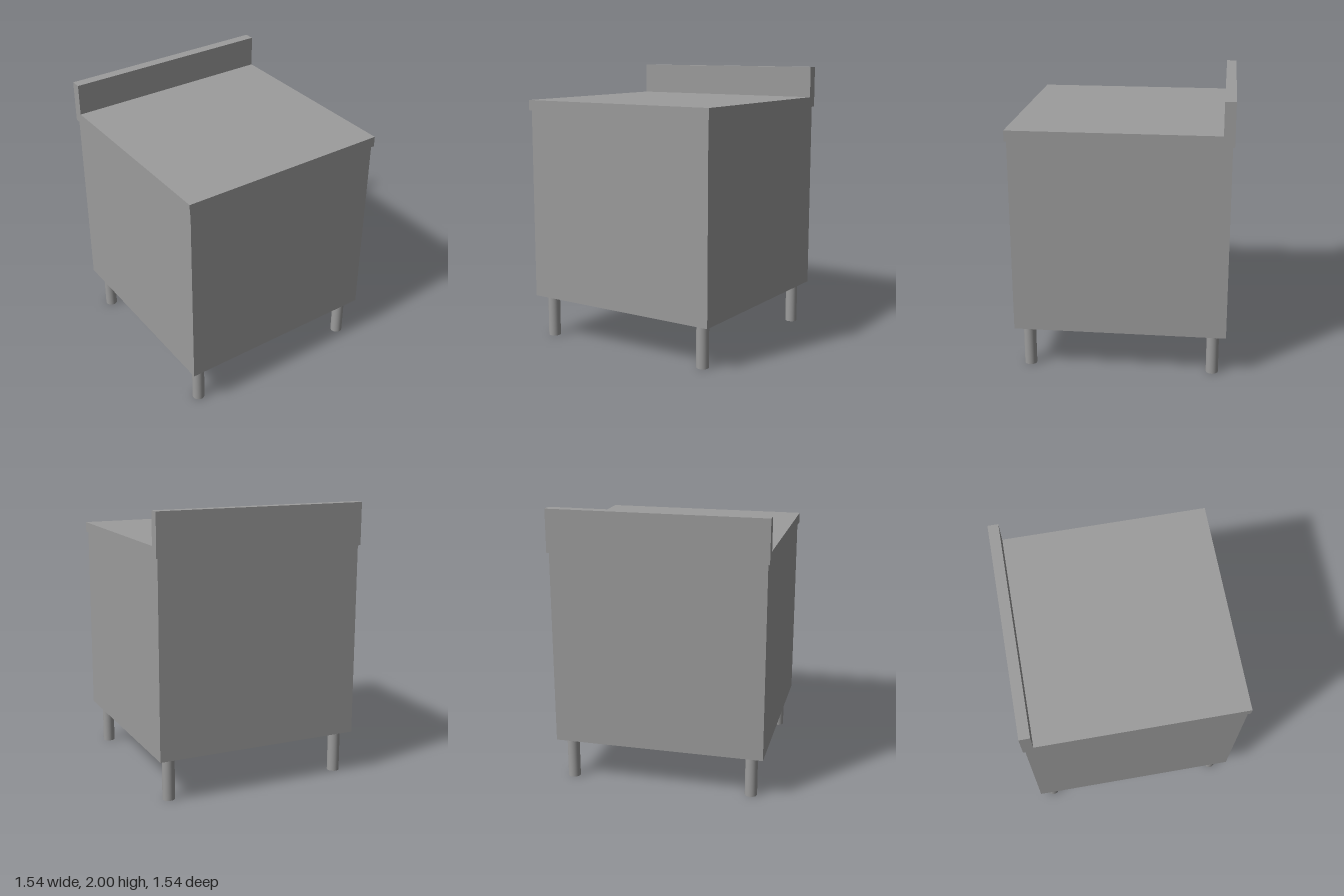
import * as THREE from 'three';

export function createModel() {
  const group = new THREE.Group();
  const material = new THREE.MeshStandardMaterial({ color: 0x9c9c9c });
  const add = (name, geometry, x = 0, y = 0, z = 0) => {
    const mesh = new THREE.Mesh(geometry, material);
    mesh.name = name;
    mesh.position.set(x, y, z);
    group.add(mesh);
  };

  const half = 0.768;         // half width and depth of the worktop
  const bodyBottom = 0.31, bodyTop = 1.697;
  const bodySize = 1.51;

  // Closed cabinet body
  const bodyHeight = bodyTop - bodyBottom;
  add('cabinetBody', new THREE.BoxGeometry(bodySize, bodyHeight, bodySize), 0, bodyBottom + bodyHeight / 2, 0);

  // Worktop with upstand: an L profile (z, y) extruded across the width
  const profile = new THREE.Shape([
    [-half, bodyTop], [half, bodyTop], [half, 1.772],
    [-0.693, 1.772], [-0.693, 2], [-half, 2],
  ].map(([z, y]) => new THREE.Vector2(z, y)));
  const worktop = new THREE.ExtrudeGeometry(profile, { depth: 2 * half, bevelEnabled: false });
  worktop.translate(0, 0, -half).rotateY(-Math.PI / 2);
  add('worktopWithUpstand', worktop);

  // Four round legs
  const legGeometry = new THREE.CylinderGeometry(0.044, 0.044, bodyBottom, 32);
  for (const [side, x] of [['Left', 0.662], ['Right', -0.662]]) {
    for (const [end, z] of [['front', 0.662], ['back', -0.662]]) {
      add(`${end}${side}Leg`, legGeometry, x, bodyBottom / 2, z);
    }
  }

  return group;
}
